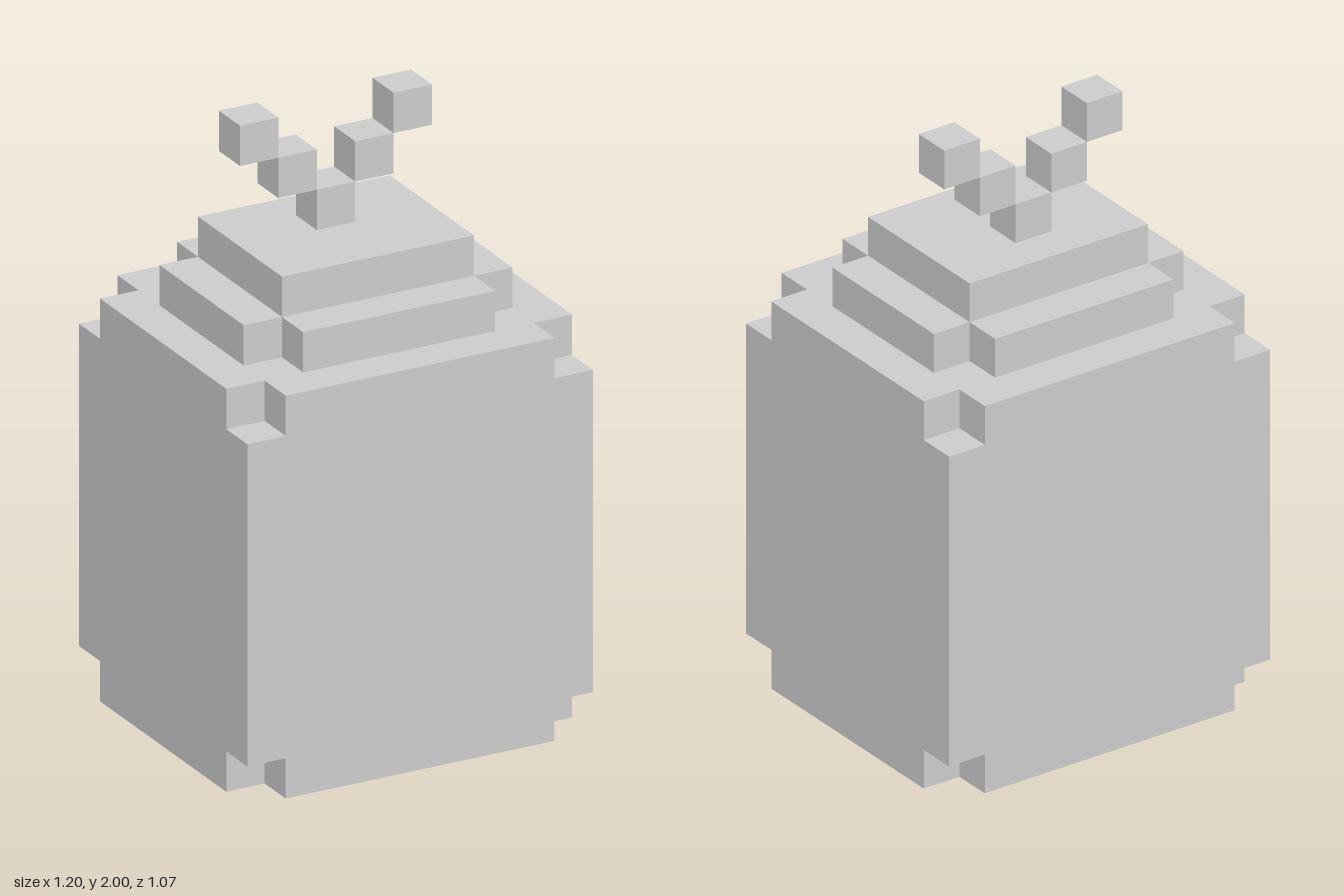
import * as THREE from 'three';

// The model sits on a grid of cubes, 15 high
const U = 2 / 15;
const material = new THREE.MeshStandardMaterial({ color: 0xcccccc, flatShading: true });

function addMesh(parent, name, geometry, x, y, z) {
  const mesh = new THREE.Mesh(geometry, material);
  mesh.name = name;
  mesh.position.set(x * U, y * U, z * U);
  parent.add(mesh);
}

// Box standing on y, sizes in grid cells
function addBox(parent, name, w, h, d, x, y, z) {
  addMesh(parent, name, new THREE.BoxGeometry(w * U, h * U, d * U), x, y + h / 2, z);
}

// One-cell-high slab whose four corners are cut out by one cell
function addNotchedSlab(parent, name, w, d, y) {
  const a = w / 2, b = d / 2;
  const outline = [
    [a, 1 - b], [a, b - 1], [a - 1, b - 1], [a - 1, b], [1 - a, b], [1 - a, b - 1],
    [-a, b - 1], [-a, 1 - b], [1 - a, 1 - b], [1 - a, -b], [a - 1, -b], [a - 1, 1 - b],
  ].map(([x, z]) => new THREE.Vector2(x * U, z * U));
  const geometry = new THREE.ExtrudeGeometry(new THREE.Shape(outline), { depth: U, bevelEnabled: false });
  geometry.rotateX(-Math.PI / 2);
  addMesh(parent, name, geometry, 0, y, 0);
}

export function createModel() {
  const model = new THREE.Group();
  model.name = 'blockJar';

  // Body with its eight corners notched
  const body = new THREE.Group();
  body.name = 'body';
  addNotchedSlab(body, 'bodyBase', 9, 8, 0);
  addBox(body, 'bodyMiddle', 9, 8, 8, 0, 1, 0);
  addNotchedSlab(body, 'bodyTop', 9, 8, 9);
  model.add(body);

  // Stepped cap
  addNotchedSlab(model, 'lowerCap', 7, 6, 10);
  addBox(model, 'upperCap', 5, 1, 4, 0, 11, 0);

  // V-shaped sprout, set just behind the centre
  const sprout = new THREE.Group();
  sprout.name = 'sprout';
  addBox(sprout, 'sproutStem', 1, 1, 1, 0, 12, -0.5);
  for (const [side, name] of [[1, 'left'], [-1, 'right']]) {
    addBox(sprout, name + 'SproutInner', 1, 1, 1, side, 13, -0.5);
    addBox(sprout, name + 'SproutTip', 1, 1, 1, side * 2, 14, -0.5);
  }
  model.add(sprout);

  return model;
}
